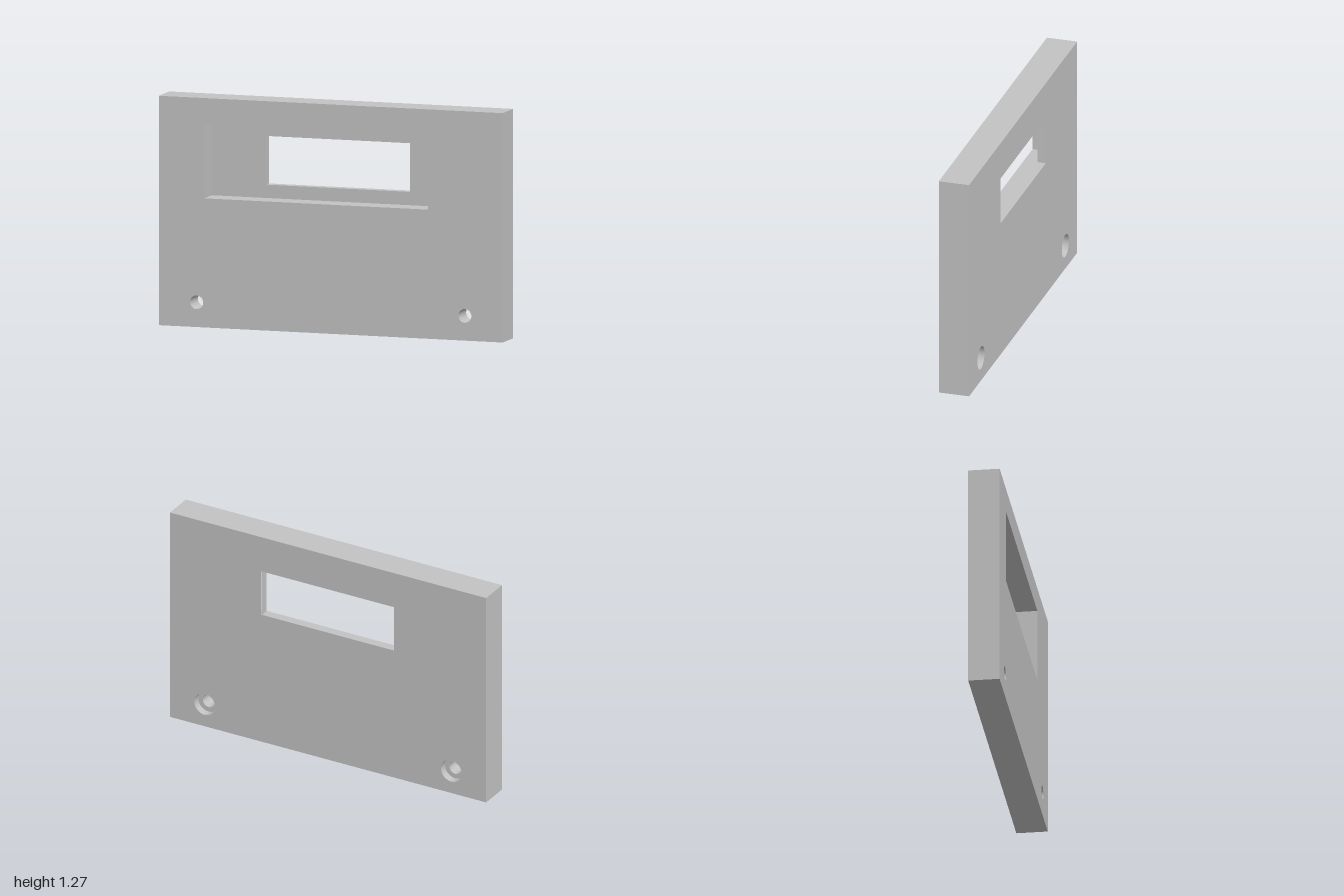
import * as THREE from 'three';
import { mergeGeometries, toCreasedNormals } from 'three/addons/utils/BufferGeometryUtils.js';

const BACK = -0.087, FRONT = 0.087;
const POCKET_FLOOR = -0.038; // the thin lip around the window is left behind this
const BORE_FLOOR = -0.043;   // seat of the counterbored screw holes
const HOLE_Y = 0.137, HOLE_R = 0.038, BORE_R = 0.066;

// Counter-clockwise loops
const rect = (x0, y0, x1, y1) => [[x0, y0], [x1, y0], [x1, y1], [x0, y1]].map(p => new THREE.Vector2(...p));
const circle = (cx, cy, r, n = 40) => Array.from({ length: n }, (_, i) => {
  const a = (i / n) * Math.PI * 2;
  return new THREE.Vector2(cx + r * Math.cos(a), cy + r * Math.sin(a));
});

// Flat face with holes, looking to +z, or to -z when back is set (x-symmetric loops)
function face(outline, holes, z, back = false) {
  const shape = new THREE.Shape(outline);
  shape.holes = holes.map(h => new THREE.Path(h));
  const g = new THREE.ShapeGeometry(shape);
  if (back) g.rotateY(Math.PI);
  g.translate(0, 0, z);
  g.deleteAttribute('uv');
  return g.toNonIndexed();
}

// Wall along a loop between two depths, facing outward, or into the opening when inward is set
function wall(loop, z0, z1, inward = false) {
  const pts = inward ? [...loop].reverse() : loop;
  const pos = [];
  pts.forEach((a, i) => {
    const b = pts[(i + 1) % pts.length];
    pos.push(a.x, a.y, z0, b.x, b.y, z0, b.x, b.y, z1);
    pos.push(a.x, a.y, z0, b.x, b.y, z1, a.x, a.y, z1);
  });
  const g = new THREE.BufferGeometry();
  g.setAttribute('position', new THREE.Float32BufferAttribute(pos, 3));
  g.computeVertexNormals();
  return g;
}

export function createModel() {
  const group = new THREE.Group();
  group.name = 'displayPanel';
  const lightGrey = new THREE.MeshStandardMaterial({ color: 0xc2c2c2 });
  lightGrey.name = 'lightGrey';

  const add = (name, parts) => {
    const mesh = new THREE.Mesh(toCreasedNormals(mergeGeometries(parts), 0.6), lightGrey);
    mesh.name = name;
    group.add(mesh);
  };

  const outline = rect(-1, 0, 1, 1.272);
  const pocket = rect(-0.735, 0.716, 0.566, 1.135);
  const window = rect(-0.42, 0.79, 0.418, 1.06);
  const sides = [-0.78, 0.78];
  const holes = sides.map(x => circle(x, HOLE_Y, HOLE_R));
  const bores = sides.map(x => circle(x, HOLE_Y, BORE_R));

  // Outer faces of the plate
  add('plate', [
    face(outline, [pocket, ...holes], FRONT),
    face(outline, [window, ...bores], BACK, true),
    wall(outline, BACK, FRONT),
  ]);

  // Recess in the front, off centre to the window
  add('displayPocket', [
    face(pocket, [window], POCKET_FLOOR),
    wall(pocket, POCKET_FLOOR, FRONT, true),
  ]);

  // Window cut through the remaining lip
  add('windowOpening', [wall(window, BACK, POCKET_FLOOR, true)]);

  // Screw holes, counterbored from the back
  holes.forEach((hole, i) => {
    const seat = face(circle(0, 0, BORE_R), [circle(0, 0, HOLE_R)], 0, true);
    seat.translate(sides[i], HOLE_Y, BORE_FLOOR);
    add(i ? 'leftScrewHole' : 'rightScrewHole', [
      wall(hole, BORE_FLOOR, FRONT, true),
      wall(bores[i], BACK, BORE_FLOOR, true),
      seat,
    ]);
  });

  return group;
}
